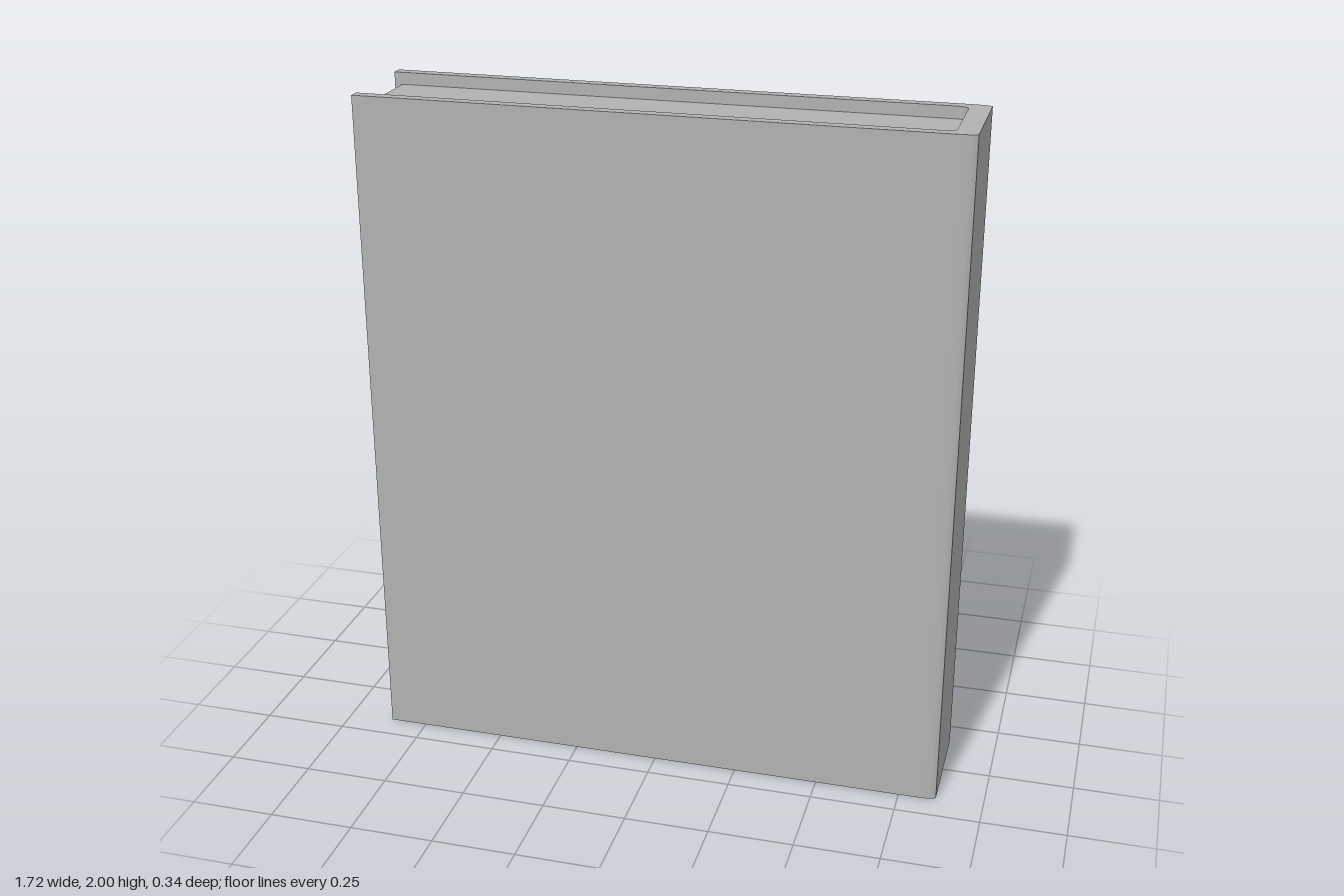
import * as THREE from 'three';
import { toCreasedNormals } from 'three/addons/utils/BufferGeometryUtils.js';

const HEIGHT = 2, RECESS = 0.035;
const FORE_EDGE = -0.863, SPINE = 0.86, HALF = 0.17;
const INNER_X = 0.80, INNER_HALF = 0.137;

// Upright prism from a plan outline, smooth over the rounded corners
function prism(name, shape, bottom, height, material) {
  let geometry = new THREE.ExtrudeGeometry(shape, { depth: height, bevelEnabled: false, curveSegments: 6 });
  geometry.rotateX(-Math.PI / 2);
  geometry.translate(0, bottom, 0);
  geometry = toCreasedNormals(geometry, 0.6);
  const mesh = new THREE.Mesh(geometry, material);
  mesh.name = name;
  return mesh;
}

export function createModel() {
  const grey = new THREE.MeshStandardMaterial({ color: 0xb2b2b2 });
  grey.name = 'plain grey';

  // Cover: two boards joined by a thicker, softly rounded spine
  const cover = new THREE.Shape();
  cover.moveTo(FORE_EDGE, -HALF);
  cover.lineTo(SPINE - 0.06, -HALF);
  cover.quadraticCurveTo(SPINE - 0.005, -HALF, SPINE, -HALF + 0.012);
  cover.lineTo(SPINE, HALF - 0.012);
  cover.quadraticCurveTo(SPINE - 0.005, HALF, SPINE - 0.06, HALF);
  cover.lineTo(FORE_EDGE, HALF);
  cover.lineTo(FORE_EDGE, INNER_HALF);
  cover.lineTo(INNER_X - 0.04, INNER_HALF);
  cover.quadraticCurveTo(INNER_X, INNER_HALF, INNER_X, INNER_HALF - 0.02);
  cover.lineTo(INNER_X, -INNER_HALF + 0.02);
  cover.quadraticCurveTo(INNER_X, -INNER_HALF, INNER_X - 0.04, -INNER_HALF);
  cover.lineTo(FORE_EDGE, -INNER_HALF);
  cover.closePath();

  // Page block: set back from the cover at top, bottom and fore edge
  const pages = new THREE.Shape();
  pages.moveTo(-0.84, -INNER_HALF);
  pages.lineTo(INNER_X - 0.04, -INNER_HALF);
  pages.quadraticCurveTo(INNER_X, -INNER_HALF, INNER_X, -INNER_HALF + 0.02);
  pages.lineTo(INNER_X, INNER_HALF - 0.02);
  pages.quadraticCurveTo(INNER_X, INNER_HALF, INNER_X - 0.04, INNER_HALF);
  pages.lineTo(-0.84, INNER_HALF);
  pages.closePath();

  const book = new THREE.Group();
  book.name = 'book';
  book.add(
    prism('cover', cover, 0, HEIGHT, grey),
    prism('pages', pages, RECESS, HEIGHT - 2 * RECESS, grey)
  );
  return book;
}
